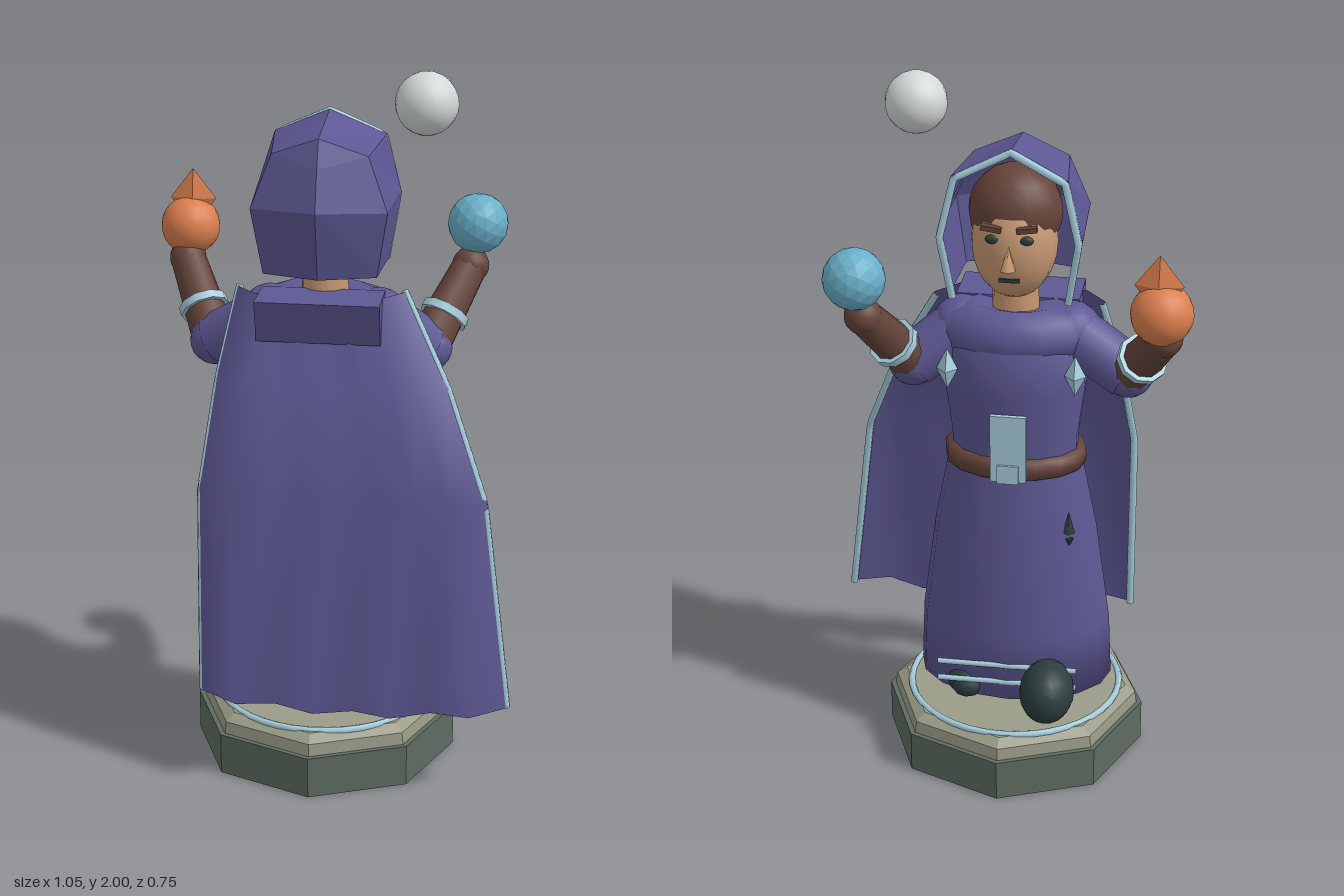
import * as THREE from 'three';

const V = (x, y, z) => new THREE.Vector3(x, y, z);
const CX = -0.03; // the figure's own centre line

function material(name, color, side = THREE.FrontSide) {
  const m = new THREE.MeshStandardMaterial({ color, side });
  m.name = name;
  return m;
}

// Surface through rows of points
function loft(rows) {
  const n = rows[0].length, idx = [];
  for (let r = 0; r < rows.length - 1; r++) for (let c = 0; c < n - 1; c++) {
    const a = r * n + c, b = a + n;
    idx.push(a, b, a + 1, a + 1, b, b + 1);
  }
  const g = new THREE.BufferGeometry().setFromPoints(rows.flat());
  g.setIndex(idx);
  g.computeVertexNormals();
  return g;
}

function faceted(g) {
  const f = g.index ? g.toNonIndexed() : g;
  f.computeVertexNormals();
  return f;
}

export function createModel() {
  const model = new THREE.Group();
  const purple = material('purple cloth', 0x5d5894, THREE.DoubleSide);
  const trim = material('pale blue trim', 0xa6cddc);
  const blue = material('blue orb', 0x69aec8);
  const orange = material('orange fire', 0xdc7f4e);
  const white = material('white orb', 0xd3d9d7);
  const skin = material('skin', 0xc99a74);
  const brown = material('brown leather', 0x65443a);
  const dark = material('dark boots', 0x2c3d3d);
  const stone = material('dark stone', 0x5e6c61);
  const paleStone = material('pale stone', 0x9a9c88);

  function add(name, geo, mat, x = 0, y = 0, z = 0) {
    const m = new THREE.Mesh(geo, mat);
    m.name = name;
    m.position.set(x, y, z);
    model.add(m);
    return m;
  }
  const ball = (name, mat, p, rx, ry = rx, rz = rx) =>
    add(name, new THREE.SphereGeometry(1, 16, 12), mat, ...p).scale.set(rx, ry, rz);
  const box = (name, mat, p, w, h, d) => add(name, new THREE.BoxGeometry(w, h, d), mat, ...p);
  function limb(name, mat, a, b, r1, r2, sides = 10) {
    const d = b.clone().sub(a);
    const m = add(name, new THREE.CylinderGeometry(r2, r1, d.length(), sides), mat);
    m.position.copy(a).addScaledVector(d, 0.5);
    m.quaternion.setFromUnitVectors(V(0, 1, 0), d.normalize());
    return m;
  }
  function turned(name, mat, pts, sides, depth, z = 0) {
    const g = new THREE.LatheGeometry(pts.map(p => new THREE.Vector2(...p)), sides);
    const m = add(name, g, mat, CX, 0, z);
    m.scale.z = depth;
    return m;
  }
  function piping(name, pts, r) {
    const path = new THREE.CurvePath();
    for (let i = 0; i < pts.length - 1; i++) path.add(new THREE.LineCurve3(pts[i], pts[i + 1]));
    add(name, new THREE.TubeGeometry(path, pts.length * 8, r, 6), trim);
  }

  // Octagonal plinth
  add('plinth', faceted(new THREE.CylinderGeometry(0.375, 0.375, 0.12, 8)), stone, CX, 0.06);
  add('plinthStep', faceted(new THREE.CylinderGeometry(0.355, 0.36, 0.035, 8)), paleStone, CX, 0.1375);
  add('plinthTop', faceted(new THREE.CylinderGeometry(0.325, 0.355, 0.02, 8)), paleStone, CX, 0.165);
  add('plinthRing', new THREE.TorusGeometry(0.305, 0.01, 6, 40), trim, CX, 0.173).rotation.x = Math.PI / 2;

  // Boots and hem bars
  ball('rightBoot', dark, [-0.15, 0.265, -0.205], 0.078, 0.09, 0.1);
  ball('rightHeel', dark, [-0.15, 0.225, -0.09], 0.07, 0.05, 0.13);
  ball('leftBoot', dark, [0.09, 0.235, -0.06], 0.07, 0.06, 0.135);
  for (const y of [0.265, 0.32])
    limb('hemBar', trim, V(-0.23, y, -0.175), V(0.17, y, -0.175), 0.008, 0.008, 6);

  // Robe skirt, leaning slightly back at the hem
  const skirt = turned('skirt', purple,
    [[0, 0.21], [0.28, 0.21], [0.272, 0.4], [0.232, 0.7], [0.185, 0.94]], 16, 0.7);
  const sp = skirt.geometry.attributes.position;
  for (let i = 0; i < sp.count; i++) sp.setZ(i, sp.getZ(i) + 0.035 * (0.94 - sp.getY(i)));
  skirt.geometry.computeVertexNormals();
  for (const s of [-1, 1]) { // dark slits on the skirt
    const x = CX + s * 0.165, z = s * 0.105;
    add('skirtSlit', new THREE.ConeGeometry(0.018, 0.065, 4), dark, x, 0.765, z);
    add('skirtSlitLow', new THREE.ConeGeometry(0.014, 0.03, 4), dark, x, 0.7, z).rotation.x = Math.PI;
  }

  // Torso, belt and front tabard
  turned('torso', purple, [[0.175, 0.9], [0.18, 1.0], [0.2, 1.15], [0.2, 1.28], [0.1, 1.38]], 14, 0.7);
  turned('belt', brown, [[0.17, 0.9], [0.197, 0.905], [0.2, 0.93], [0.197, 0.955], [0.17, 0.96]], 16, 0.73);
  box('tabard', trim, [CX, 1.005, -0.148], 0.1, 0.2, 0.014);
  box('buckle', trim, [CX, 0.93, -0.155], 0.06, 0.055, 0.014);

  // Cowl collar and the folded cloth behind the neck
  turned('cowl', purple,
    [[0.17, 1.25], [0.205, 1.27], [0.215, 1.31], [0.19, 1.36], [0.12, 1.385], [0.05, 1.37]], 14, 0.66);
  const fold = new THREE.Shape([[-0.03, 1.385], [-0.18, 1.385], [-0.148, 1.265], [-0.03, 1.28]]
    .map(p => new THREE.Vector2(...p)));
  const foldMesh = add('backFold',
    new THREE.ExtrudeGeometry(fold, { depth: 0.34, bevelEnabled: false }), purple, CX - 0.17);
  foldMesh.rotation.y = Math.PI / 2;

  // Cape with zigzag folds: y, left edge, right edge, edge z, fold z
  const capeRows = [
    [1.385, -0.27, 0.2, 0.03, 0.1, 0.015], [1.15, -0.315, 0.33, 0.14, 0.2, 0.02],
    [0.86, -0.35, 0.445, 0.245, 0.3, 0.035], [0.28, -0.345, 0.522, 0.3, 0.355, 0.035],
  ];
  const cols = 8;
  const cape = capeRows.map(([y, x0, x1, zE, zF, amp], r) => {
    const row = [];
    for (let i = 0; i <= cols; i++) {
      const edge = i === 0 || i === cols;
      const z = edge ? zE : zF - (i % 2 ? 0 : amp);
      const sag = r === 3 ? 0.03 * Math.sin(Math.PI * i / cols) : 0;
      row.push(V(x0 + (x1 - x0) * i / cols, y - sag, z));
    }
    return row;
  });
  add('cape', loft(cape), purple);
  for (const c of [0, cols])
    piping('capeTrim', cape.map(r => r[c].clone().add(V(c ? -0.008 : 0.008, 0, -0.006))), 0.011);

  // Shoulder clasps
  for (const s of [-1, 1])
    add('clasp', faceted(new THREE.OctahedronGeometry(1)), trim, CX + s * 0.176, 1.215, -0.1)
      .scale.set(0.03, 0.06, 0.03);

  // Arms: shoulder, elbow, hand
  const arms = [
    ['left', V(0.12, 1.3, 0.01), V(0.25, 1.205, -0.04), V(0.355, 1.4, -0.195)],
    ['right', V(-0.18, 1.3, 0.01), V(-0.345, 1.205, -0.03), V(-0.45, 1.39, -0.2)],
  ];
  for (const [side, shoulder, elbow, hand] of arms) {
    ball(side + 'Shoulder', purple, shoulder.toArray(), 0.085);
    limb(side + 'Sleeve', purple, shoulder, elbow, 0.08, 0.075);
    ball(side + 'Elbow', purple, elbow.toArray(), 0.07);
    limb(side + 'Forearm', brown, elbow, hand, 0.063, 0.05);
    ball(side + 'Hand', brown, hand.toArray(), 0.052);
    const d = hand.clone().sub(elbow);
    const c = elbow.clone().addScaledVector(d, 0.4), h = d.normalize().multiplyScalar(0.012);
    limb(side + 'Cuff', trim, c.clone().sub(h), c.clone().add(h), 0.07, 0.07);
  }

  // Floating orbs and the flame tip
  add('blueOrb', faceted(new THREE.IcosahedronGeometry(0.085, 2)), blue, 0.372, 1.515, -0.218);
  ball('fireOrb', orange, [-0.447, 1.475, -0.235], 0.084);
  add('flame', faceted(new THREE.OctahedronGeometry(1)), orange, -0.438, 1.555, -0.238)
    .scale.set(0.065, 0.085, 0.022);
  ball('whiteOrb', white, [0.25, 1.915, 0.067], 0.085);

  // Head and face
  limb('neck', skin, V(CX, 1.34, -0.005), V(CX, 1.48, -0.01), 0.066, 0.062, 12);
  ball('head', skin, [CX, 1.58, -0.03], 0.118, 0.165, 0.118);
  ball('hair', brown, [CX, 1.655, -0.012], 0.128, 0.13, 0.118);
  const nose = add('nose', new THREE.ConeGeometry(0.022, 0.07, 6), skin, CX, 1.57, -0.15);
  nose.rotation.x = 0.15;
  for (const s of [-1, 1]) {
    ball('eye', dark, [CX + s * 0.045, 1.615, -0.132], 0.02, 0.013, 0.01);
    const brow = box('eyebrow', brown, [CX + s * 0.048, 1.648, -0.138], 0.055, 0.014, 0.02);
    brow.rotation.z = s * 0.15;
  }
  box('mouth', dark, [CX, 1.5, -0.134], 0.055, 0.01, 0.009);

  // Hood: opening, rear outline and back spine
  const half = [[0.165, 1.44, -0.112], [0.195, 1.62, -0.137], [0.155, 1.785, -0.128]];
  const mirror = (pts, top) => [
    ...pts.map(([x, y, z]) => V(CX - x, y, z)), V(CX, ...top),
    ...pts.slice().reverse().map(([x, y, z]) => V(CX + x, y, z))];
  const opening = mirror(half, [1.855, -0.105]);
  const rear = mirror([[0.155, 1.445, 0.11], [0.185, 1.63, 0.13], [0.13, 1.775, 0.1]], [1.825, 0.125]);
  const spine = mirror([[0, 1.445, 0.155], [0, 1.64, 0.2], [0, 1.75, 0.16]], [1.825, 0.125]);
  add('hood', faceted(loft([opening, rear, spine])), purple);
  piping('hoodTrim', opening.map(p => p.clone().add(V((CX - p.x) * 0.05, -0.006, -0.002))), 0.011);

  return model;
}
